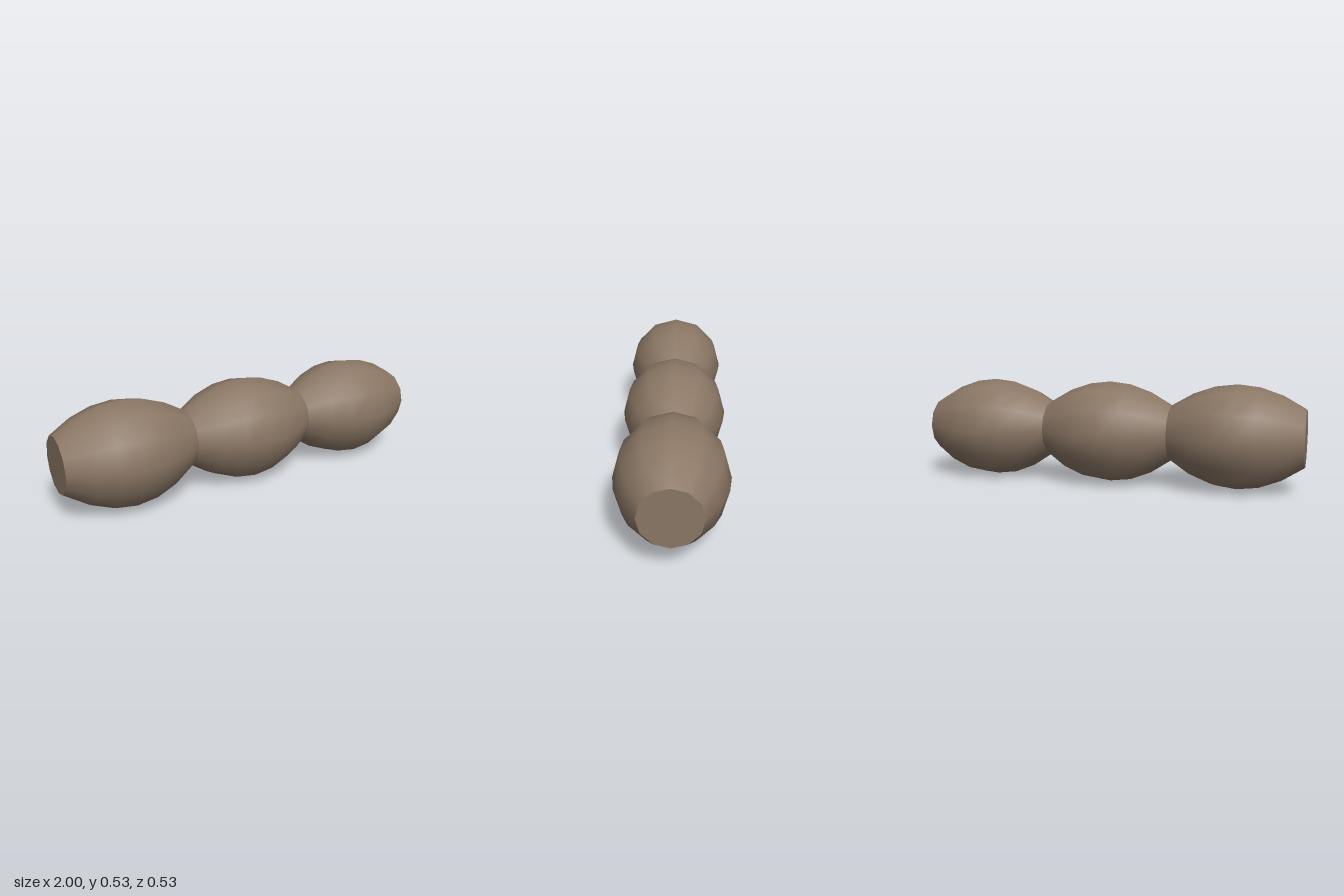
import * as THREE from 'three';

const SIDES = 12, HALF = 1 / 3, MID_R = 0.265, END_R = 0.143, AXIS_Y = 0.268;

export function createModel() {
  const brown = new THREE.MeshStandardMaterial({ color: 0x8b7765 });
  brown.name = 'warm brown';
  const group = new THREE.Group();
  group.name = 'segmentedRod';

  // Barrel profile: parabolic bulge, thin at both ends
  const profile = [];
  for (let i = 0; i <= 6; i++) {
    const t = i / 3 - 1;
    profile.push(new THREE.Vector2(MID_R - (MID_R - END_R) * t * t, t * HALF));
  }
  const barrel = new THREE.LatheGeometry(profile, SIDES);
  barrel.rotateZ(-Math.PI / 2);

  // The axis rises slightly toward the ends of each segment
  const pos = barrel.attributes.position;
  for (let i = 0; i < pos.count; i++) {
    const t = pos.getX(i) / HALF;
    pos.setY(i, pos.getY(i) + 0.008 * t * t);
  }

  // Three segments in a row
  ['rightSegment', 'middleSegment', 'leftSegment'].forEach((name, i) => {
    const segment = new THREE.Mesh(barrel, brown);
    segment.name = name;
    segment.position.set((i - 1) * 2 * HALF, AXIS_Y, 0);
    group.add(segment);
  });

  // Flat end caps
  for (const side of [-1, 1]) {
    const cap = new THREE.Mesh(new THREE.CircleGeometry(END_R, SIDES), brown);
    cap.name = side > 0 ? 'leftEndCap' : 'rightEndCap';
    cap.rotation.y = side * Math.PI / 2;
    cap.position.set(side, AXIS_Y + 0.008, 0);
    group.add(cap);
  }
  return group;
}
